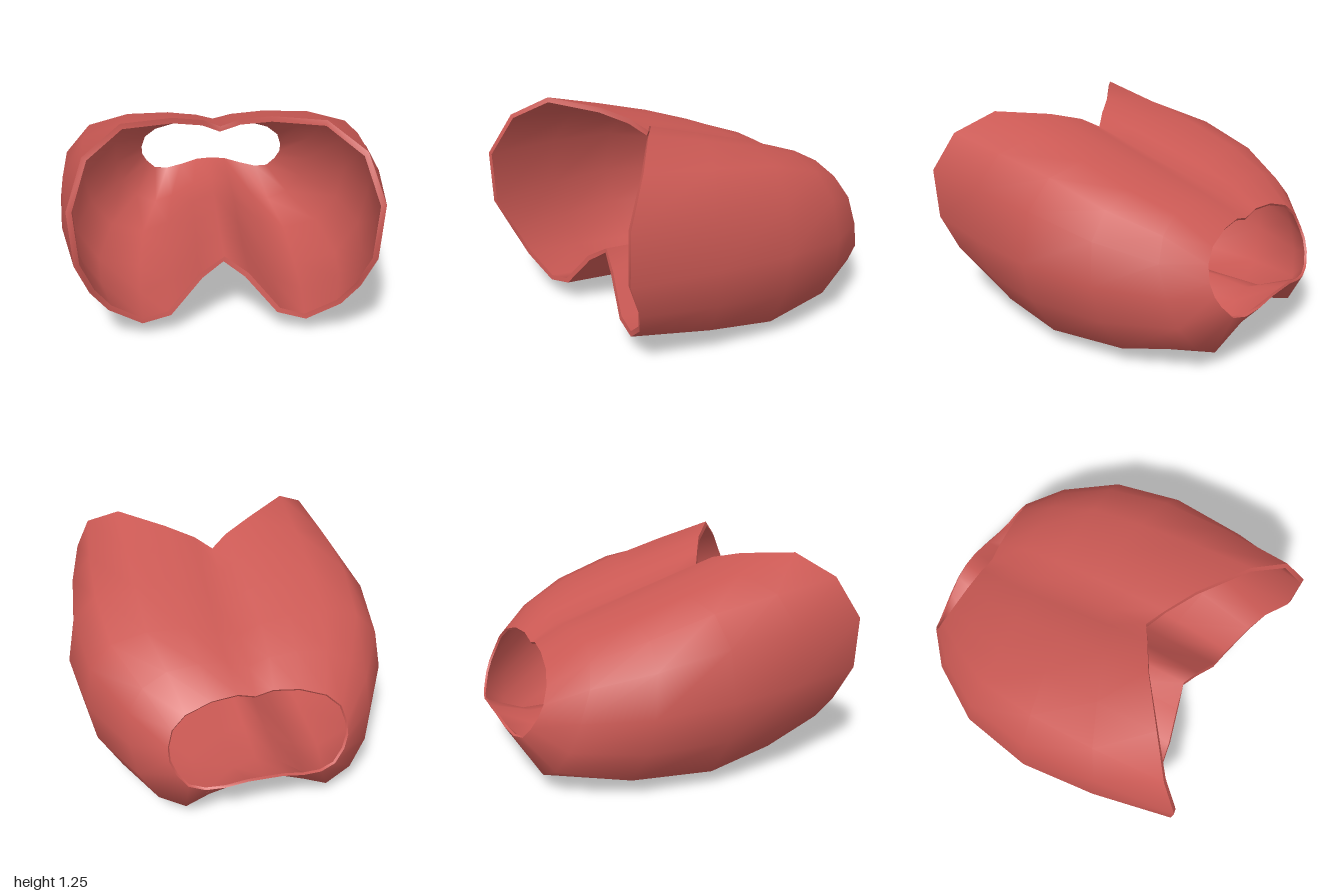
import * as THREE from 'three';

// Half cross-sections, from top centre round the left side to bottom centre.
const FRONT_RIM = [
  [0, 1.11, .35], [.1, 1.17, .41], [.27, 1.22, .51], [.54, 1.26, .71], [.73, 1.14, .87], [.81, .9, 1], [.79, .59, 1],
  [.73, .38, .91], [.64, .24, .86], [.46, .11, .8], [.3, .14, .77], [.12, .34, .71], [0, .42, .67],
];
const MIDDLE = [
  [0, .98], [.12, 1.03], [.29, 1.065], [.54, 1.08], [.77, 1.03], [.91, .87], [.965, .58],
  [.92, .34], [.78, .1], [.51, .005], [.3, .07], [.12, .27], [0, .345],
];
const SHOULDER = [
  [0, .84], [.12, .875], [.28, .89], [.46, .87], [.6, .8], [.69, .68], [.7, .5],
  [.67, .33], [.57, .18], [.42, .1], [.28, .15], [.12, .26], [0, .29],
];
const REAR_RIM = [
  [0, .75], [.1, .78], [.25, .77], [.4, .72], [.48, .65], [.51, .56], [.51, .49],
  [.48, .42], [.42, .35], [.33, .33], [.22, .345], [.1, .375], [0, .38],
];

// Rings along the body: curve position, widening and wall thickness.
const STATIONS = [
  { t: 0, widen: 1, wall: .03 },
  { t: 1 / 6, widen: 1, wall: .03 },
  { t: 2 / 6, widen: 1, wall: .03 },
  { t: 3 / 6, widen: 1.05, wall: .03 },
  { t: 4 / 6, widen: 1, wall: .03 },
  { t: 1, widen: 1, wall: .015 },
];

// One lengthwise curve per profile point; the middle bows forward at the sides,
// the shoulder leans back and the rear opening tilts upward.
const ribs = FRONT_RIM.map((front, i) => {
  const [mx, my] = MIDDLE[i], [sx, sy] = SHOULDER[i], [rx, ry] = REAR_RIM[i];
  return new THREE.CatmullRomCurve3([
    new THREE.Vector3(...front),
    new THREE.Vector3(mx, my, -.1 + .2 * mx),
    new THREE.Vector3(sx, sy, -.86 + .33 * sy),
    new THREE.Vector3(rx, ry, -.87 + .13 * Math.cos(Math.PI * i / 12)),
  ], false, 'catmullrom', .5);
});

// Closed ring across all ribs, mirrored to the right side.
function ring({ t, widen }) {
  const half = ribs.map((rib) => rib.getPoint(t).multiply(new THREE.Vector3(widen, 1, 1)));
  const mirrored = half.slice(1, -1).reverse().map((p) => new THREE.Vector3(-p.x, p.y, p.z));
  return [...half, ...mirrored];
}

// Join closed rings into a smooth surface.
function loft(rings) {
  const n = rings[0].length;
  const index = [];
  for (let j = 0; j < rings.length - 1; j++) {
    for (let i = 0; i < n; i++) {
      const a = j * n + i, b = j * n + (i + 1) % n;
      index.push(a, b, a + n, b, b + n, a + n);
    }
  }
  const geometry = new THREE.BufferGeometry().setFromPoints(rings.flat());
  geometry.setIndex(index);
  geometry.computeVertexNormals();
  return geometry;
}

export function createModel() {
  const group = new THREE.Group();
  group.name = 'hollowShell';
  const red = new THREE.MeshStandardMaterial({ color: 0xcb5954 });
  red.name = 'softRed';

  const outer = STATIONS.map(ring);
  const outerGeometry = loft(outer);
  const normals = outerGeometry.attributes.normal;

  // Inner wall: the outer rings pushed inward along their normals
  const inner = outer.map((points, j) => points.map((p, i) => {
    const normal = new THREE.Vector3().fromBufferAttribute(normals, j * points.length + i);
    return p.clone().addScaledVector(normal, -STATIONS[j].wall);
  }));
  const last = outer.length - 1;

  const add = (name, geometry) => {
    const mesh = new THREE.Mesh(geometry, red);
    mesh.name = name;
    group.add(mesh);
  };
  add('outerWall', outerGeometry);
  add('innerWall', loft([...inner].reverse()));
  add('frontRim', loft([inner[0], outer[0]]));
  add('rearRim', loft([outer[last], inner[last]]));
  return group;
}
